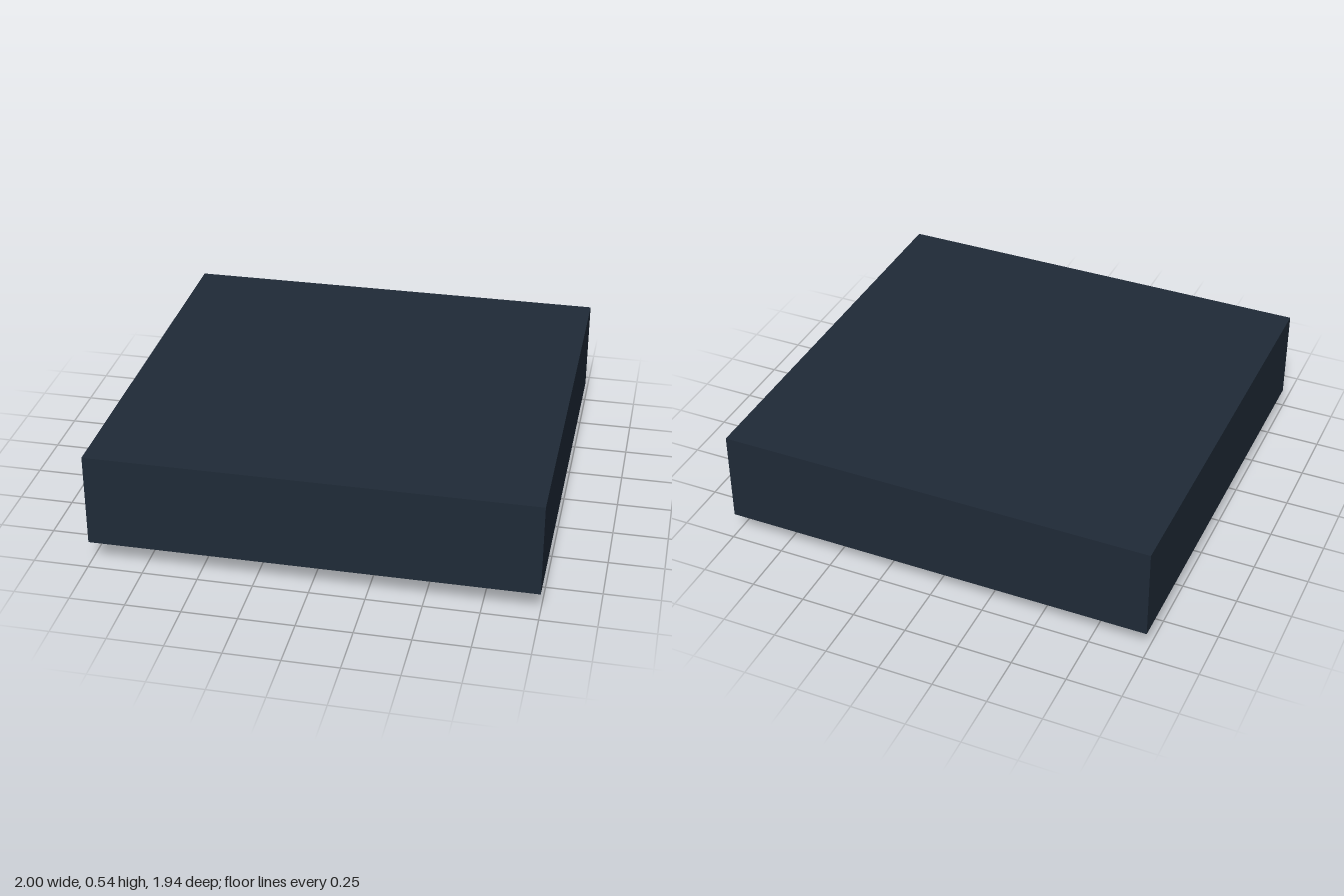
import * as THREE from 'three';

export function createModel() {
  const model = new THREE.Group();
  const mat = (color) => new THREE.MeshStandardMaterial({ color, flatShading: true });
  const dark = mat(0x1f2a37), purple = mat(0x8866b4), cream = mat(0xd4c49a);

  const add = (name, geometry, material, x, y, z) => {
    const mesh = new THREE.Mesh(geometry, material);
    mesh.name = name;
    mesh.position.set(x, y, z);
    model.add(mesh);
    return mesh;
  };

  // Main slab and the inset panel beneath it
  add('slab', new THREE.BoxGeometry(2, 0.43, 1.94), dark, 0, 0.325, 0);
  add('panel', new THREE.BoxGeometry(1.69, 0.05, 1.636), purple, 0, 0.09, 0);

  // Globe emblem on the underside: ring, narrow meridian and equator bar
  const emblemZ = -0.034;
  const flatTorus = (radius, tube, sides) =>
    new THREE.TorusGeometry(radius, tube, sides, 16).rotateX(Math.PI / 2);
  add('globeRing', flatTorus(0.6, 0.033, 8), cream, 0, 0.033, emblemZ);
  add('meridian', flatTorus(0.6, 0.022, 6).scale(0.45, 1, 1), cream, 0, 0.034, emblemZ);
  add('equatorBar', new THREE.BoxGeometry(1.2, 0.035, 0.04), cream, 0, 0.034, emblemZ);

  // Row of small square studs
  for (let i = 0; i < 3; i++) {
    add('stud', new THREE.BoxGeometry(0.075, 0.026, 0.075), cream, -0.618 + i * 0.195, 0.056, 0.64);
  }
  return model;
}
